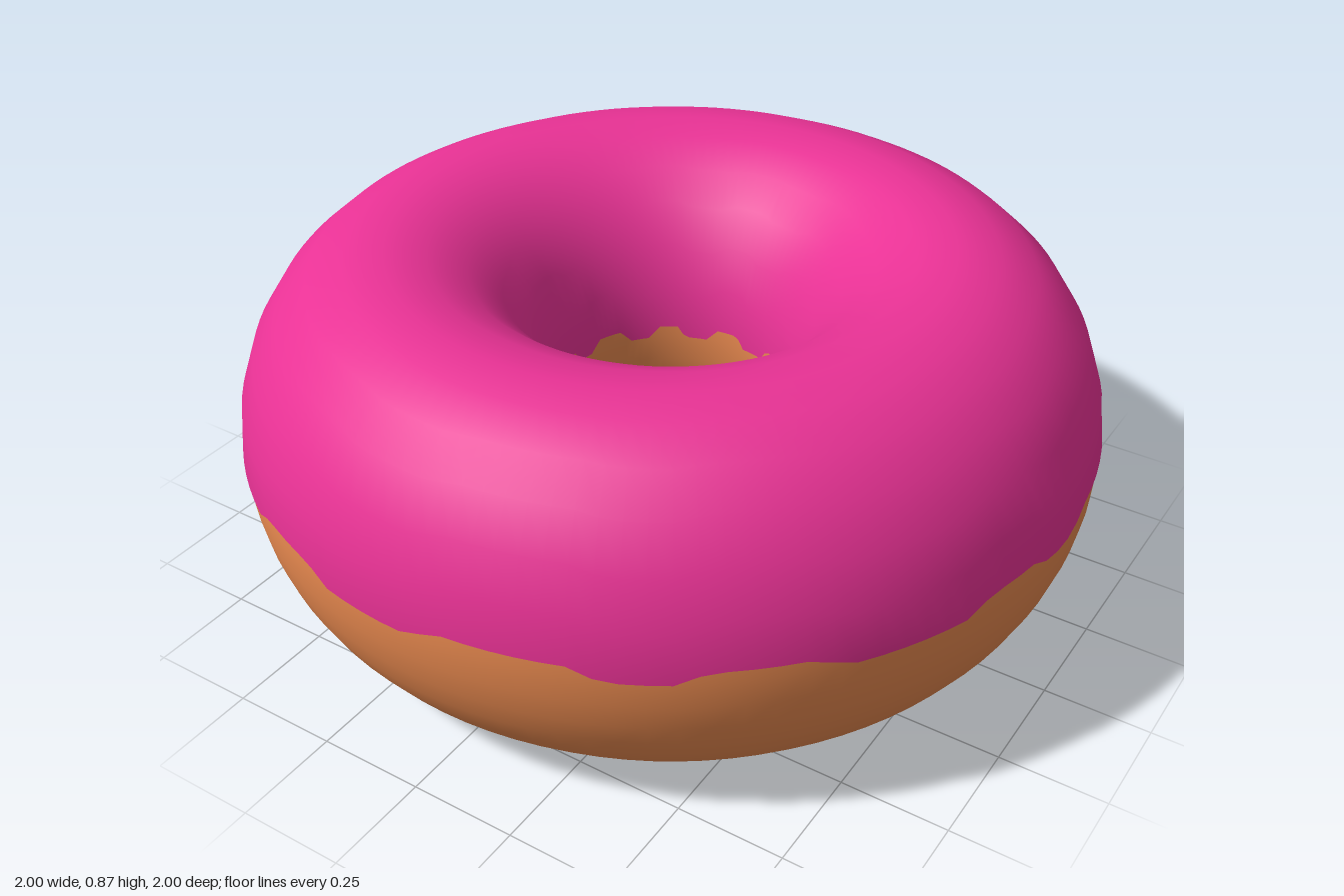
import * as THREE from 'three';
import { ParametricGeometry } from 'three/addons/geometries/ParametricGeometry.js';

const RING = 0.64;     // radius of the ring's centre line
const MID = 0.437;     // height of the ring's centre line

// Where the icing edge rises: [angle from the front, half width], in degrees
const RISES = [[-21, 9], [13, 12], [43, 10], [77, 8], [102.5, 11], [153, 9],
  [184, 10], [215, 9], [246, 11], [278, 12]];

// Height of the icing edge above the centre line: flat, with low plateaus
function edgeRise(degrees) {
  let rise = 0;
  for (const [centre, half] of RISES) {
    const d = Math.abs(((degrees - centre + 540) % 360) - 180);
    rise = Math.max(rise, THREE.MathUtils.clamp((half - d) / 4, 0, 1));
  }
  return rise * 0.03;
}

export function createModel() {
  const group = new THREE.Group();
  group.name = 'doughnut';

  // Dough: a torus with a taller-than-wide section
  const tube = 0.355;
  const doughGeometry = new THREE.TorusGeometry(RING, tube, 40, 96);
  doughGeometry.rotateX(-Math.PI / 2);
  doughGeometry.scale(1, 0.432 / tube, 1);
  doughGeometry.translate(0, MID, 0);
  const dough = new THREE.Mesh(doughGeometry, new THREE.MeshStandardMaterial({ color: 0xe8894f }));
  dough.name = 'dough';
  group.add(dough);

  // Icing: a shell over the upper half, from the wavy outer edge to the hole
  const width = 0.36, height = 0.438;
  const icingGeometry = new ParametricGeometry((u, v, target) => {
    const angle = u * Math.PI * 2;
    const start = Math.asin(edgeRise(u * 360) / height);
    const section = THREE.MathUtils.lerp(start, Math.PI - start, v);
    const radius = RING + width * Math.cos(section);
    target.set(radius * Math.sin(angle), MID + height * Math.sin(section), radius * Math.cos(angle));
  }, 120, 12);
  const icing = new THREE.Mesh(icingGeometry,
    new THREE.MeshStandardMaterial({ color: 0xe93295, side: THREE.DoubleSide }));
  icing.name = 'icing';
  group.add(icing);

  return group;
}
